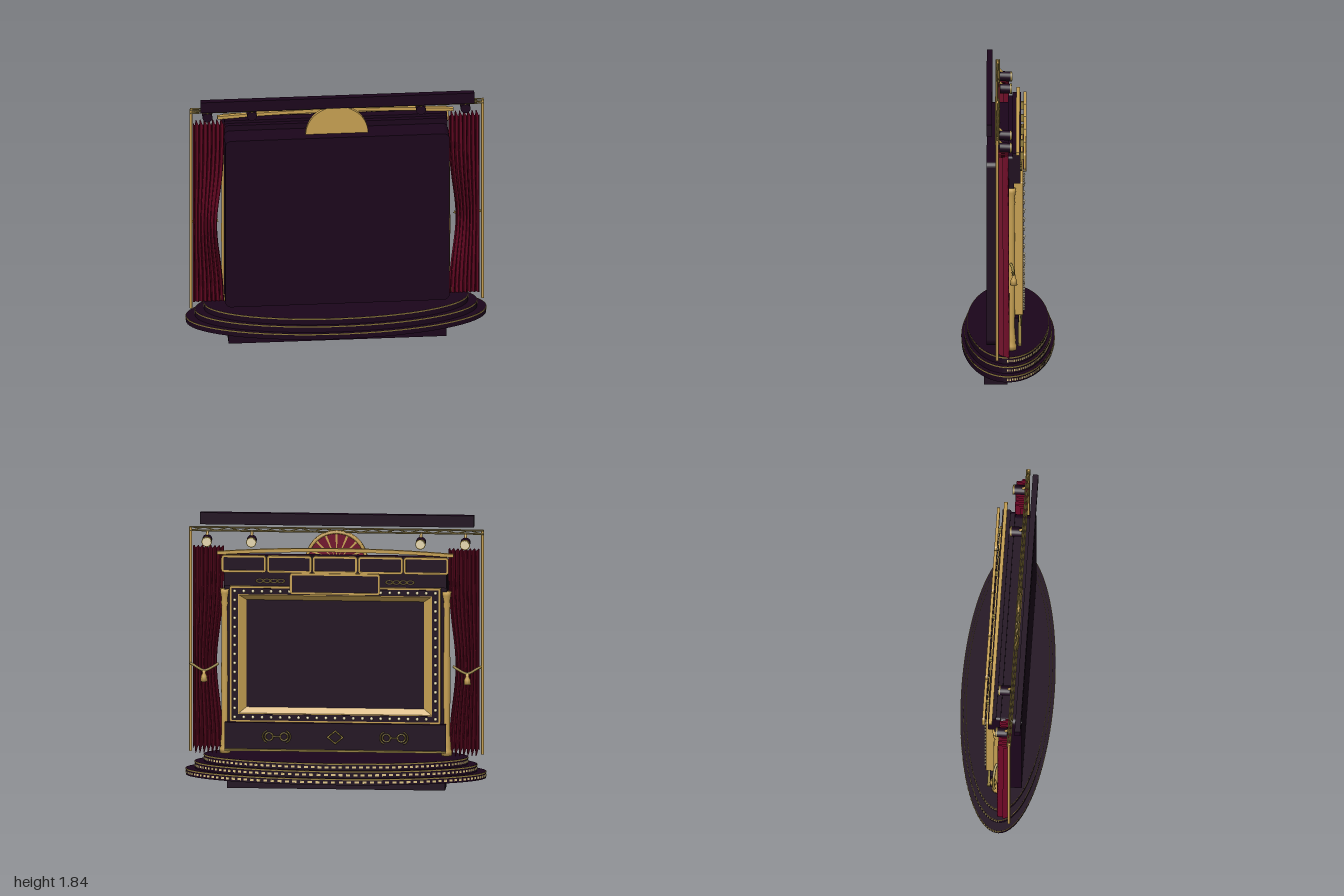
import * as THREE from 'three';

const mat = (name, color, side = THREE.FrontSide) => {
  const m = new THREE.MeshStandardMaterial({ color, side });
  m.name = name;
  return m;
};

export function createModel() {
  const root = new THREE.Group();
  root.name = 'theatreStage';
  const dark = mat('darkPlum', 0x1b051b);
  const gold = mat('gold', 0xc6a052, THREE.DoubleSide);
  const oldGold = mat('oldGold', 0x94803f);
  const crimson = mat('crimson', 0x700827, THREE.DoubleSide);
  const cream = mat('cream', 0xeadcb4);
  const warm = mat('warmLight', 0xdfc688);

  const add = (name, geo, m, x = 0, y = 0, z = 0) => {
    const mesh = new THREE.Mesh(geo, m);
    mesh.name = name;
    mesh.position.set(x, y, z);
    root.add(mesh);
    return mesh;
  };
  // Box given by its limits
  const box = (name, m, x0, x1, y0, y1, z0, z1) => add(name,
    new THREE.BoxGeometry(x1 - x0, y1 - y0, z1 - z0), m, (x0 + x1) / 2, (y0 + y1) / 2, (z0 + z1) / 2);
  // Rod between two points
  const rod = (name, m, a, b, r, sides = 8) => {
    const p = new THREE.Vector3(...a), q = new THREE.Vector3(...b), d = q.clone().sub(p);
    const mesh = add(name, new THREE.CylinderGeometry(r, r, d.length(), sides), m);
    mesh.position.copy(p).add(q).multiplyScalar(0.5);
    mesh.quaternion.setFromUnitVectors(new THREE.Vector3(0, 1, 0), d.normalize());
    return mesh;
  };
  const roundRect = (P, w, h, r) => {
    const s = new P(), x = w / 2, y = h / 2;
    s.absarc(x - r, y - r, r, 0, Math.PI / 2);
    s.absarc(r - x, y - r, r, Math.PI / 2, Math.PI);
    s.absarc(r - x, r - y, r, Math.PI, Math.PI * 1.5);
    s.absarc(x - r, r - y, r, Math.PI * 1.5, Math.PI * 2);
    s.closePath();
    return s;
  };
  const extrude = (s, depth) => new THREE.ExtrudeGeometry(s, { depth, bevelEnabled: false, curveSegments: 6 });
  const slab = (name, m, w, h, r, depth, y, z, x = 0) =>
    add(name, extrude(roundRect(THREE.Shape, w, h, r), depth), m, x, y, z);
  const ring = (name, m, w, h, r, t, depth, y, z, x = 0) => {
    const s = roundRect(THREE.Shape, w, h, r);
    s.holes.push(roundRect(THREE.Path, w - 2 * t, h - 2 * t, Math.max(r - t, 0.003)));
    return add(name, extrude(s, depth), m, x, y, z);
  };

  // Foot and three oval steps with gilt rims and dashes of light along the audience side
  box('foot', dark, -0.725, 0.725, 0, 0.1, 0, 0.157);
  const dash = new THREE.BoxGeometry(1, 0.014, 0.007);
  [[0.997, 0.307, 0.092, 0.136], [0.937, 0.288, 0.136, 0.184], [0.877, 0.27, 0.184, 0.232]].forEach(([rx, rz, y0, y1]) => {
    const oval = (name, m, k, a, b) => add(name, new THREE.CylinderGeometry(1, 1, b - a, 96), m, 0, (a + b) / 2, 0)
      .scale.set(rx + k, 1, rz + k);
    oval('step', dark, 0, y0, y1);
    oval('stepRim', oldGold, 0.003, y1 - 0.009, y1 - 0.001);
    for (let i = 0; i <= 60; i++) {
      const a = Math.PI * i / 60, c = Math.cos(a), s = Math.sin(a);
      const light = add('stepLight', dash, warm, rx * c, (y0 + y1) / 2 - 0.003, -rz * s);
      light.rotation.y = Math.atan2(c / rx, -s / rz);
      light.scale.x = 0.55 * Math.PI / 60 * Math.hypot(rx * s, rz * c);
    }
  });

  // Body: rear casing, facade, header and apron
  slab('rearCasing', dark, 1.49, 1.27, 0.04, 0.14, 0.903, 0);
  slab('facade', dark, 1.48, 1.31, 0.02, 0.04, 0.923, -0.04);
  box('header', dark, -0.74, 0.74, 1.39, 1.598, -0.085, -0.03);
  box('apron', dark, -0.735, 0.735, 0.27, 0.46, -0.072, -0.03);
  box('apronTrim', oldGold, -0.735, 0.735, 0.27, 0.282, -0.09, -0.07);

  // Screen frame: gilt box, dark bulb band, sloping inner frame
  const cy = 0.93;
  ring('screenFrame', gold, 1.4, 0.92, 0.01, 0.06, 0.06, cy, -0.1);
  ring('bulbBand', dark, 1.376, 0.896, 0.006, 0.042, 0.004, cy, -0.103);
  const slope = new THREE.BufferGeometry(), pts = [], idx = [];
  [[0.642, 0.402, -0.1], [0.588, 0.362, -0.07]].forEach(([w, h, z]) =>
    pts.push(w, h, z, -w, h, z, -w, -h, z, w, -h, z));
  for (let i = 0; i < 4; i++) {
    const j = (i + 1) % 4;
    idx.push(i, i + 4, j, j, i + 4, j + 4);
  }
  slope.setAttribute('position', new THREE.Float32BufferAttribute(pts, 3));
  slope.setIndex(idx);
  const slopeFlat = slope.toNonIndexed();
  slopeFlat.computeVertexNormals();
  add('innerFrame', slopeFlat, gold, 0, cy, 0);
  box('screen', dark, -0.59, 0.59, cy - 0.365, cy + 0.365, -0.071, -0.04);
  const bulbGeo = new THREE.SphereGeometry(0.011, 8, 6);
  const bulb = (x, y) => add('bulb', bulbGeo, cream, x, y, -0.103);
  for (let i = 0; i <= 22; i++) for (const s of [-1, 1]) bulb(-0.667 + 1.334 * i / 22, cy + s * 0.427);
  for (let i = 1; i < 14; i++) for (const s of [-1, 1]) bulb(s * 0.667, cy - 0.427 + 0.854 * i / 14);

  // Sign boards above the screen
  const board = (x, y, w, h) => {
    slab('signBoard', dark, w - 0.004, h - 0.004, 0.018, 0.012, y, -0.115, x);
    ring('signBorder', gold, w, h, 0.02, 0.014, 0.019, y, -0.122, x);
  };
  for (let i = -2; i <= 2; i++) {
    board(i * 0.303, 1.545, 0.298, 0.116);
    box('signBracket', oldGold, i * 0.303 - 0.01, i * 0.303 + 0.01, 1.52, 1.57, -0.104, -0.08);
  }
  board(0, 1.414, 0.6, 0.144);

  // Arched cornice
  const arch = new THREE.Shape();
  arch.moveTo(-0.785, 1.596);
  arch.quadraticCurveTo(0, 1.65, 0.785, 1.596);
  arch.lineTo(0.785, 1.618);
  arch.quadraticCurveTo(0, 1.676, -0.785, 1.618);
  add('cornice', new THREE.ExtrudeGeometry(arch, { depth: 0.024, bevelEnabled: false, curveSegments: 24 }), gold, 0, 0, -0.078);

  // Apron ornaments: linked rings and a central lozenge
  const hoop = new THREE.TorusGeometry(0.026, 0.006, 6, 18);
  const curl = new THREE.TorusGeometry(0.042, 0.005, 6, 14, Math.PI * 0.8);
  const smallHoop = new THREE.TorusGeometry(0.022, 0.006, 6, 14);
  for (const s of [-1, 1]) {
    for (const d of [-0.05, 0.05]) {
      add('scrollRing', hoop, oldGold, s * 0.39 + d, 0.37, -0.088);
      add('scrollCurl', curl, oldGold, s * 0.39 + d, 0.37, -0.088).rotation.z = Math.PI * (d > 0 ? -0.4 : 0.6);
    }
    rod('scrollBar', oldGold, [s * 0.39 - 0.03, 0.37, -0.088], [s * 0.39 + 0.03, 0.37, -0.088], 0.006);
    // Flat scrolls beside the lower sign
    for (const d of [-0.07, -0.023, 0.023, 0.07])
      add('headerScroll', smallHoop, oldGold, s * 0.43 + d, 1.425, -0.088).scale.y = 0.55;
  }
  add('lozenge', new THREE.TorusGeometry(0.042, 0.007, 4, 4), oldGold, 0, 0.37, -0.088).scale.x = 1.2;

  // Turned columns
  const lathe = (points, n) => new THREE.LatheGeometry(points.map(p => new THREE.Vector2(...p)), n);
  const column = lathe([[0, 0.245], [0.036, 0.245], [0.036, 0.275], [0.028, 0.29], [0.031, 0.31], [0.026, 0.35], [0.023, 0.4],
    [0.026, 0.75], [0.022, 1.24], [0.027, 1.26], [0.023, 1.29], [0.03, 1.33], [0.032, 1.355], [0, 1.355]], 16);
  for (const s of [-1, 1]) add('column', column, gold, s * 0.736, 0, -0.023);

  // Pleated curtains, gathered at the waist
  const curtain = s => {
    const cols = 70, rows = 24, v = [], f = [];
    for (let j = 0; j <= rows; j++) {
      const t = j / rows;
      for (let i = 0; i <= cols; i++) {
        const u = i / cols, wave = Math.sin(u * Math.PI * 15);
        const y = 0.255 + 0.018 * wave * (1 - t) + t * (1.63 - 0.255);
        const inner = 0.745 + 0.048 * Math.exp(-(((y - 0.84) / 0.33) ** 2));
        v.push(s * (inner + u * (0.952 - inner)), y, 0.026 + 0.006 * t + 0.038 * wave);
        if (i < cols && j < rows) {
          const a = j * (cols + 1) + i, b = a + cols + 1;
          if (s > 0) f.push(a, a + 1, b, b, a + 1, b + 1);
          else f.push(a, b, a + 1, b, b + 1, a + 1);
        }
      }
    }
    const g = new THREE.BufferGeometry();
    g.setAttribute('position', new THREE.Float32BufferAttribute(v, 3));
    g.setIndex(f);
    g.computeVertexNormals();
    return g;
  };
  const tassel = lathe([[0, 0.73], [0.024, 0.73], [0.02, 0.765], [0.01, 0.785], [0.014, 0.797], [0, 0.81]], 12);
  for (const s of [-1, 1]) {
    add('curtain', curtain(s), crimson);
    const path = new THREE.CatmullRomCurve3([[0.968, 0.848, -0.02], [0.94, 0.835, -0.032], [0.875, 0.803, -0.038],
      [0.81, 0.83, -0.032], [0.78, 0.848, -0.02]].map(([x, y, z]) => new THREE.Vector3(s * x, y, z)));
    add('tieRope', new THREE.TubeGeometry(path, 20, 0.009, 8), oldGold);
    add('tassel', tassel, gold, s * 0.875, 0, -0.04);
  }

  // Lighting truss on two posts
  const zT = 0.07;
  for (const s of [-1, 1]) rod('trussPost', gold, [s * 0.97, 0.235, zT], [s * 0.97, 1.755, zT], 0.01);
  for (const y of [1.729, 1.752]) for (const z of [zT - 0.01, zT + 0.01])
    rod('trussRail', oldGold, [-0.975, y, z], [0.975, y, z], 0.0045);
  for (let i = 0; i < 24; i++) {
    const x = -0.96 + i * 0.08, up = i % 2;
    rod('trussBrace', oldGold, [x, up ? 1.752 : 1.729, zT], [x + 0.08, up ? 1.729 : 1.752, zT], 0.004, 6);
  }
  box('topBeam', dark, -0.91, 0.91, 1.763, 1.842, 0.104, 0.142);

  // Spotlights
  for (const x of [-0.858, -0.562, 0.562, 0.858]) {
    rod('lampHanger', gold, [x, 1.69, 0.03], [x, 1.73, zT], 0.009);
    rod('lampBody', dark, [x, 1.674, 0.054], [x, 1.671, -0.02], 0.033, 20);
    rod('lampRim', oldGold, [x, 1.671, -0.014], [x, 1.671, -0.024], 0.034, 20);
    rod('lampLens', cream, [x, 1.671, -0.02], [x, 1.671, -0.027], 0.028, 20);
  }

  // Sunburst crest: gilt half disc with crimson rays
  const half = new THREE.Shape();
  half.absarc(0, 0, 0.208, 0, Math.PI);
  half.closePath();
  add('crest', new THREE.ExtrudeGeometry(half, { depth: 0.024, bevelEnabled: false, curveSegments: 32 }), gold, 0, 1.533, 0.06);
  for (let i = 0; i < 8; i++) {
    const ray = new THREE.RingGeometry(0.03, 0.186, 6, 1, Math.PI * i / 8 + 0.04, Math.PI / 8 - 0.08);
    add('crestRay', ray, crimson, 0, 1.533, 0.057).rotation.y = Math.PI;
  }
  add('crestRim', new THREE.TorusGeometry(0.197, 0.011, 6, 32, Math.PI), gold, 0, 1.533, 0.06).scale.z = 0.6;
  return root;
}
